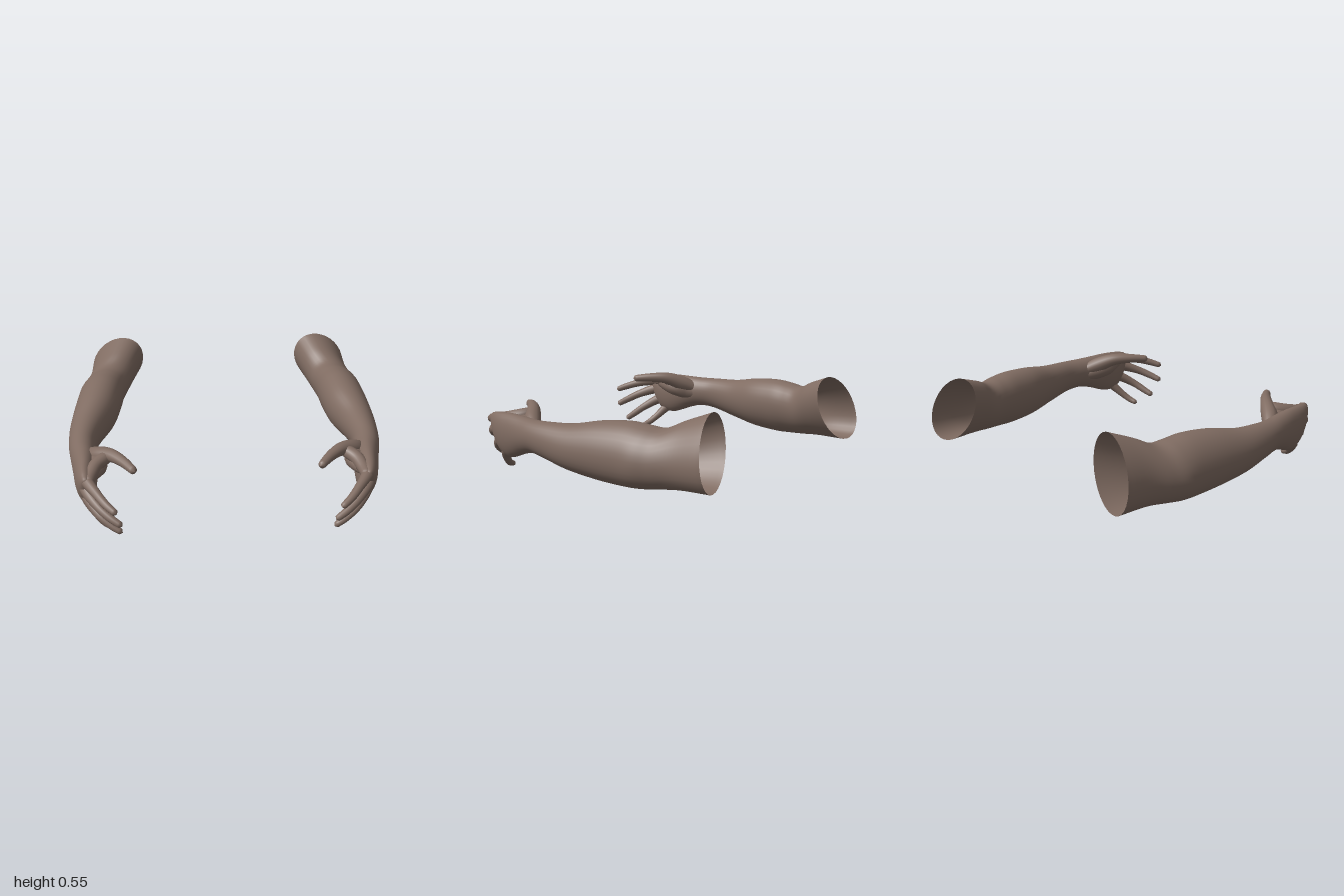
import * as THREE from 'three';
import { mergeVertices } from 'three/addons/utils/BufferGeometryUtils.js';

const skin = new THREE.MeshStandardMaterial({ color: 0x806c62, side: THREE.DoubleSide });

// Arm cross-sections from the open upper end to the knuckles:
// [z, xMin, xMax, yMin, yMax, lean of x with y, slope of z with x, slope of z with y]
const SECTIONS = [
  [-0.888, 0.545, 0.914, 0.135, 0.555, 0.28, -0.19, 0.17],
  [-0.72, 0.60, 0.92, 0.13, 0.50, 0.24, -0.10, 0.07],
  [-0.60, 0.645, 0.95, 0.115, 0.452, 0.18, -0.03, 0],
  [-0.50, 0.665, 0.978, 0.105, 0.458, 0.15, 0, 0],
  [-0.38, 0.677, 0.985, 0.10, 0.467, 0.12, 0, 0],
  [-0.20, 0.705, 0.995, 0.11, 0.452, 0.10, 0, 0],
  [0.00, 0.772, 1.00, 0.14, 0.413, 0.08, 0, 0],
  [0.18, 0.808, 0.987, 0.178, 0.40, 0.05, 0, 0],
  [0.30, 0.804, 0.97, 0.19, 0.395, 0, 0, 0],
  [0.40, 0.79, 0.95, 0.168, 0.397, 0, 0, 0.05],
  [0.50, 0.785, 0.93, 0.135, 0.40, 0, 0, 0.15],
  [0.58, 0.785, 0.915, 0.117, 0.395, 0, 0, 0.28],
  [0.645, 0.785, 0.896, 0.122, 0.385, 0, 0, 0.35],
  [0.69, 0.795, 0.87, 0.15, 0.36, 0, 0, 0.38],
  [0.71, 0.822, 0.832, 0.25, 0.26, 0, 0, 0.38]
];

// Hand parts: points from inside the hand to the tip, with a radius at each point
const DIGITS = {
  indexFinger: [[0.86, 0.345, 0.52], [0.838, 0.343, 0.67], [0.765, 0.32, 0.80], [0.705, 0.293, 0.88], [0.645, 0.268, 0.935]],
  middleFinger: [[0.865, 0.29, 0.52], [0.84, 0.28, 0.68], [0.765, 0.236, 0.80], [0.69, 0.195, 0.865], [0.62, 0.163, 0.905]],
  ringFinger: [[0.87, 0.23, 0.50], [0.845, 0.213, 0.64], [0.765, 0.143, 0.755], [0.69, 0.093, 0.80], [0.627, 0.06, 0.825]],
  littleFinger: [[0.875, 0.205, 0.48], [0.848, 0.155, 0.59], [0.785, 0.078, 0.655], [0.735, 0.036, 0.688], [0.68, 0.013, 0.71]],
  thumb: [[0.86, 0.31, 0.33], [0.785, 0.355, 0.42], [0.70, 0.396, 0.495], [0.62, 0.403, 0.585], [0.545, 0.395, 0.69]],
  thumbBase: [[0.87, 0.27, 0.28], [0.825, 0.295, 0.40], [0.785, 0.32, 0.48], [0.79, 0.33, 0.56], [0.83, 0.33, 0.66]],
  thumbWeb: [[0.675, 0.395, 0.48], [0.735, 0.38, 0.505], [0.785, 0.365, 0.56], [0.81, 0.35, 0.64], [0.82, 0.345, 0.73]]
};
const FINGER_RADII = [0.036, 0.038, 0.028, 0.024, 0.019];
const RADII = {
  indexFinger: FINGER_RADII,
  middleFinger: FINGER_RADII,
  ringFinger: FINGER_RADII.map(r => r * 0.96),
  littleFinger: FINGER_RADII.map(r => r * 0.88),
  thumb: [0.035, 0.052, 0.042, 0.032, 0.023],
  thumbBase: [0.03, 0.058, 0.062, 0.05, 0.03],
  thumbWeb: [0.025, 0.04, 0.042, 0.038, 0.03]
};

// Smooth value through a row of numbers, t from 0 to 1
function spline(values, t) {
  const n = values.length - 1;
  const i = Math.min(Math.floor(t * n), n - 1);
  const f = t * n - i;
  const b = values[i], c = values[i + 1];
  const m0 = i > 0 ? (c - values[i - 1]) / 2 : c - b;
  const m1 = i + 2 <= n ? (values[i + 2] - b) / 2 : c - b;
  return b + f * (m0 + f * (3 * (c - b) - 2 * m0 - m1 + f * (2 * (b - c) + m0 + m1)));
}

// Upper arm, forearm and palm as one skin lofted through the sections
function armGeometry(side) {
  const rings = 84, around = 32, pos = [], index = [];
  for (let r = 0; r <= rings; r++) {
    const [z, x0, x1, y0, y1, lean, sx, sy] = SECTIONS[0].map((_, k) => spline(SECTIONS.map(s => s[k]), r / rings));
    const hy = (y1 - y0) / 2, hx = (x1 - x0) / 2;
    const a = Math.sqrt(Math.max(hx * hx - (lean * hy) ** 2, 0));
    for (let k = 0; k < around; k++) {
      const ang = (k / around) * Math.PI * 2;
      const dy = hy * Math.sin(ang);
      const dx = a * Math.cos(ang) - lean * dy;
      pos.push(side * ((x0 + x1) / 2 + dx), (y0 + y1) / 2 + dy, z + sx * dx + sy * dy);
      if (r === rings) continue;
      const k2 = (k + 1) % around;
      const p = r * around + k, q = r * around + k2, s = p + around, u = q + around;
      if (side > 0) index.push(p, q, s, q, u, s);
      else index.push(p, s, q, q, s, u);
    }
  }
  const g = new THREE.BufferGeometry();
  g.setAttribute('position', new THREE.Float32BufferAttribute(pos, 3));
  g.setIndex(index);
  g.computeVertexNormals();
  return g;
}

// Tapered tube with a rounded tip
function digitGeometry(points, radii, side) {
  const curve = new THREE.CatmullRomCurve3(points.map(([x, y, z]) => new THREE.Vector3(side * x, y, z)));
  const segs = 40, around = 14, length = curve.getLength();
  const tube = new THREE.TubeGeometry(curve, segs, 1, around);
  const pos = tube.attributes.position, v = new THREE.Vector3();
  for (let i = 0; i <= segs; i++) {
    const t = i / segs, centre = curve.getPointAt(t);
    let r = spline(radii, curve.getUtoTmapping(t));
    const left = (1 - t) * length, tip = radii[radii.length - 1];
    if (left < tip) r *= Math.sqrt(Math.max(1 - (1 - left / tip) ** 2, 0.0001));
    for (let k = 0; k <= around; k++) {
      const n = i * (around + 1) + k;
      v.fromBufferAttribute(pos, n).sub(centre).multiplyScalar(r).add(centre);
      pos.setXYZ(n, v.x, v.y, v.z);
    }
  }
  tube.deleteAttribute('uv');
  tube.deleteAttribute('normal');
  const g = mergeVertices(tube, 1e-5);
  g.computeVertexNormals();
  return g;
}

function makeArm(side) {
  const arm = new THREE.Group();
  arm.name = side > 0 ? 'leftArm' : 'rightArm';
  const add = (name, geometry) => {
    const mesh = new THREE.Mesh(geometry, skin);
    mesh.name = name;
    arm.add(mesh);
  };
  add('armAndPalm', armGeometry(side));
  for (const name in DIGITS) add(name, digitGeometry(DIGITS[name], RADII[name], side));
  // the two arms sit slightly offset from each other
  arm.position.z = side > 0 ? -0.01 : 0.01;
  return arm;
}

export function createModel() {
  const model = new THREE.Group();
  model.name = 'pairOfArms';
  model.add(makeArm(1), makeArm(-1));
  return model;
}
